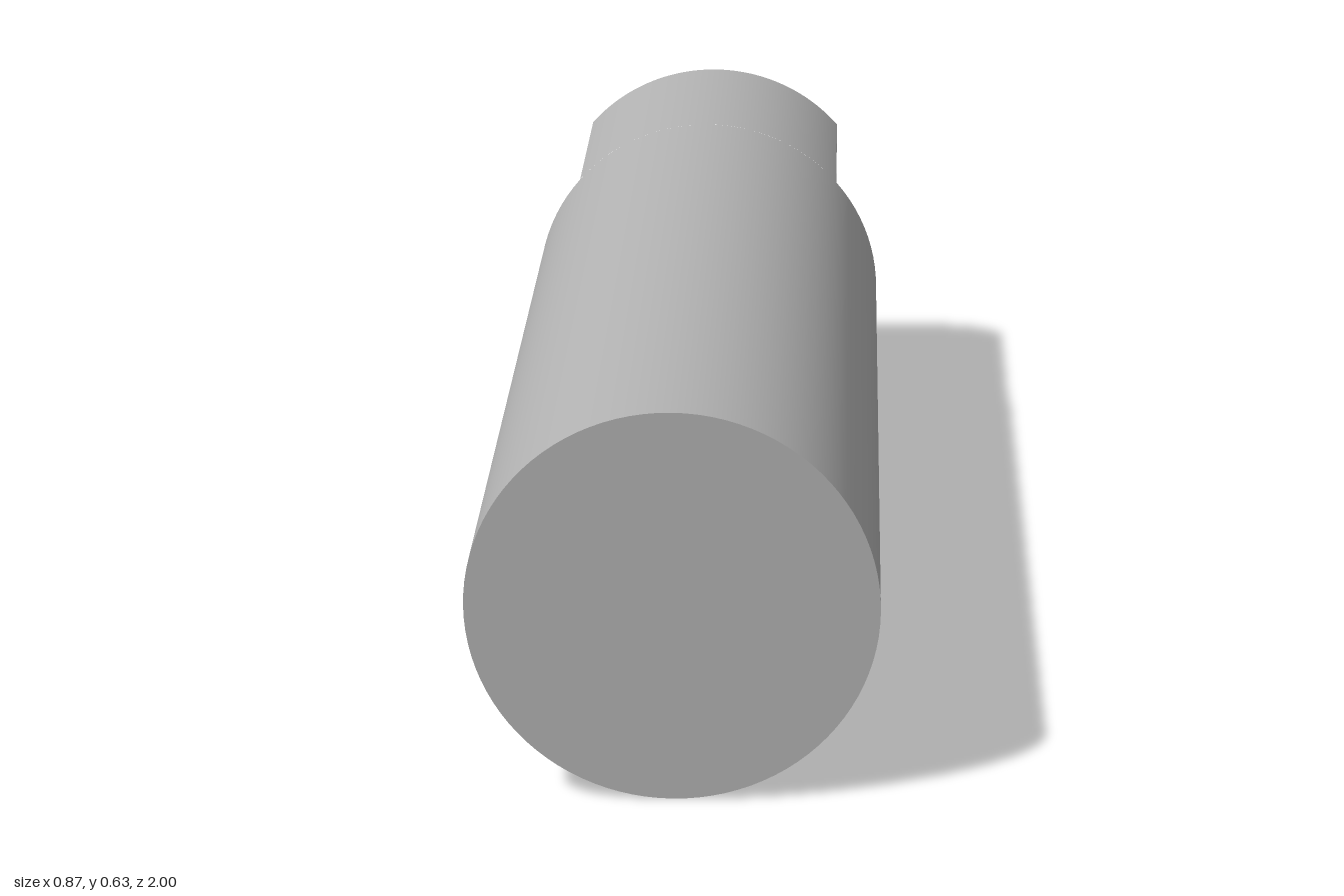
import * as THREE from 'three';

const R = 0.315;          // outer radius
const HALF = 0.238;       // half width across the wrench flats
const LENGTH = 1.937;
const FLAT = 0.388;       // length of the flats
const BORE = 0.197, CHAMFER = 0.212, DEPTH = 0.8;
const BACK = -LENGTH / 2, SHOULDER = BACK + FLAT;
const SEG = 96;

export function createModel() {
  const steel = new THREE.MeshStandardMaterial({ color: 0xb2b2b2 });
  steel.name = 'steelGrey';

  const model = new THREE.Group();
  model.name = 'slottedSleeve';
  const rod = new THREE.Group();
  rod.name = 'rod';
  rod.position.set(-0.0326, R, -0.006);
  rod.rotation.y = Math.asin(0.1575);
  model.add(rod);

  const add = (name, geometry) => {
    const mesh = new THREE.Mesh(geometry, steel);
    mesh.name = name;
    rod.add(mesh);
    return mesh;
  };
  // Open curved wall along z between z0 and z1
  const wall = (z0, z1, start, sweep) =>
    new THREE.CylinderGeometry(R, R, z1 - z0, SEG, 1, true, start, sweep)
      .rotateX(Math.PI / 2).translate(0, 0, (z0 + z1) / 2);

  // Full round shank and its front face
  add('shank', wall(SHOULDER, -BACK, 0, Math.PI * 2));
  add('frontFace', new THREE.CircleGeometry(R, SEG).translate(0, 0, -BACK));

  // Rounded top and bottom of the flatted end
  const alpha = Math.asin(HALF / R);
  add('endTop', wall(BACK, SHOULDER, Math.PI - alpha, 2 * alpha));
  add('endBottom', wall(BACK, SHOULDER, -alpha, 2 * alpha));

  // Two flats with the shoulders where they meet the shank
  const beta = Math.acos(HALF / R);
  const chord = 2 * R * Math.sin(beta);
  for (const side of [-1, 1]) {
    add('wrenchFlat', new THREE.PlaneGeometry(FLAT, chord)
      .rotateY(side * Math.PI / 2)
      .translate(side * HALF, 0, BACK + FLAT / 2));
    const segment = new THREE.Shape();
    const mid = side > 0 ? Math.PI : 0;
    segment.absarc(0, 0, R, mid - beta, mid + beta, false);
    segment.closePath();
    add('shoulder', new THREE.ShapeGeometry(segment, 32)
      .rotateY(Math.PI).translate(0, 0, SHOULDER));
  }

  // Back face with the bore opening
  const outline = new THREE.Shape();
  outline.absarc(0, 0, R, beta, Math.PI - beta, false);
  outline.absarc(0, 0, R, Math.PI + beta, 2 * Math.PI - beta, false);
  outline.closePath();
  const opening = new THREE.Path();
  opening.absarc(0, 0, CHAMFER, 0, Math.PI * 2, true);
  outline.holes.push(opening);
  add('backFace', new THREE.ShapeGeometry(outline, 48)
    .rotateY(Math.PI).translate(0, 0, BACK));

  // Blind bore: floor, wall and chamfer, each with crisp edges
  const profile = [
    [0, BACK + DEPTH], [BORE, BACK + DEPTH], [BORE, BACK + 0.02], [CHAMFER, BACK],
  ].map(([r, z]) => new THREE.Vector2(r, z));
  ['boreFloor', 'boreWall', 'boreChamfer'].forEach((name, i) =>
    add(name, new THREE.LatheGeometry(profile.slice(i, i + 2), SEG).rotateX(Math.PI / 2)));

  return model;
}
